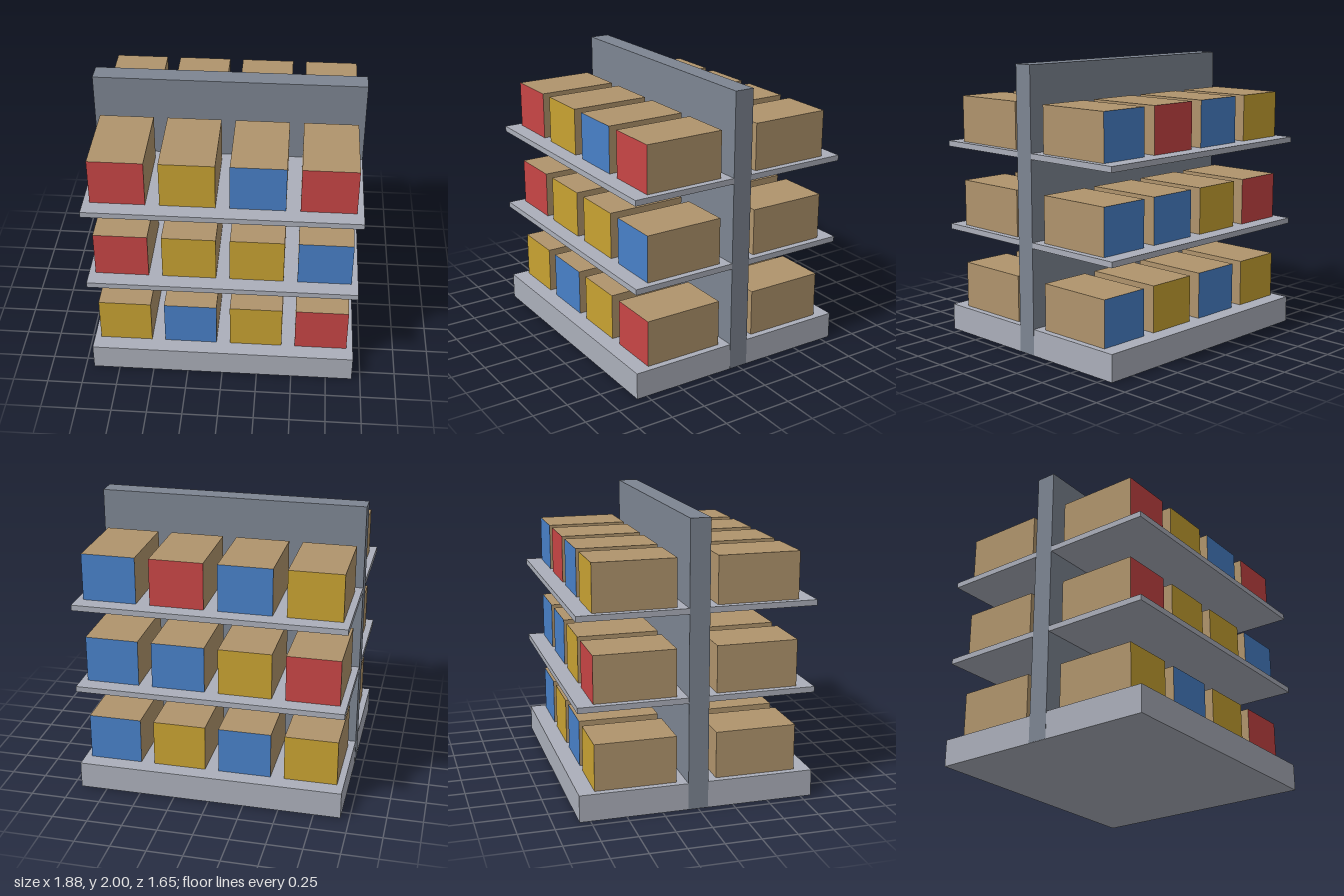
import * as THREE from 'three';

const mat = (name, color) => {
  const m = new THREE.MeshStandardMaterial({ color });
  m.name = name;
  return m;
};

export function createModel() {
  const group = new THREE.Group();
  const shelfGrey = mat('shelf grey', 0xabafba);
  const panelGrey = mat('panel slate', 0x7d8592);
  const cardboard = mat('cardboard', 0xb0946c);
  const label = {
    r: mat('label red', 0xc84545),
    y: mat('label yellow', 0xc8a232),
    b: mat('label blue', 0x4880c8),
  };

  const addBox = (name, w, y0, y1, d, material, x = 0, z = 0) => {
    const mesh = new THREE.Mesh(new THREE.BoxGeometry(w, y1 - y0, d), material);
    mesh.name = name;
    mesh.position.set(x, (y0 + y1) / 2, z);
    group.add(mesh);
  };

  // Upright centre panel, a hair proud of the shelf ends
  addBox('centrePanel', 1.88, 0.002, 2, 0.14, panelGrey);

  // Each level: shelf slab plus a row of cartons on both sides, listed from -x to +x
  const levels = [
    { name: 'base', bottom: 0, top: 0.19, front: 'ybyr', back: 'ybyb' },
    { name: 'middleShelf', bottom: 0.76, top: 0.8, front: 'ryyb', back: 'rybb' },
    { name: 'topShelf', bottom: 1.37, top: 1.41, front: 'rybr', back: 'ybrb' },
  ];
  for (const { name, bottom, top, front, back } of levels) {
    addBox(name, 1.877, bottom, top, 1.65, shelfGrey);
    for (const [row, side] of [[front, 1], [back, -1]]) {
      [...row].forEach((key, i) => {
        // Only the outward face carries the coloured label
        const faces = Array(6).fill(cardboard);
        faces[side > 0 ? 4 : 5] = label[key];
        addBox('carton', 0.374, top, top + 0.33, 0.57, faces, (i - 1.5) * 0.47, side * 0.425);
      });
    }
  }
  return group;
}
